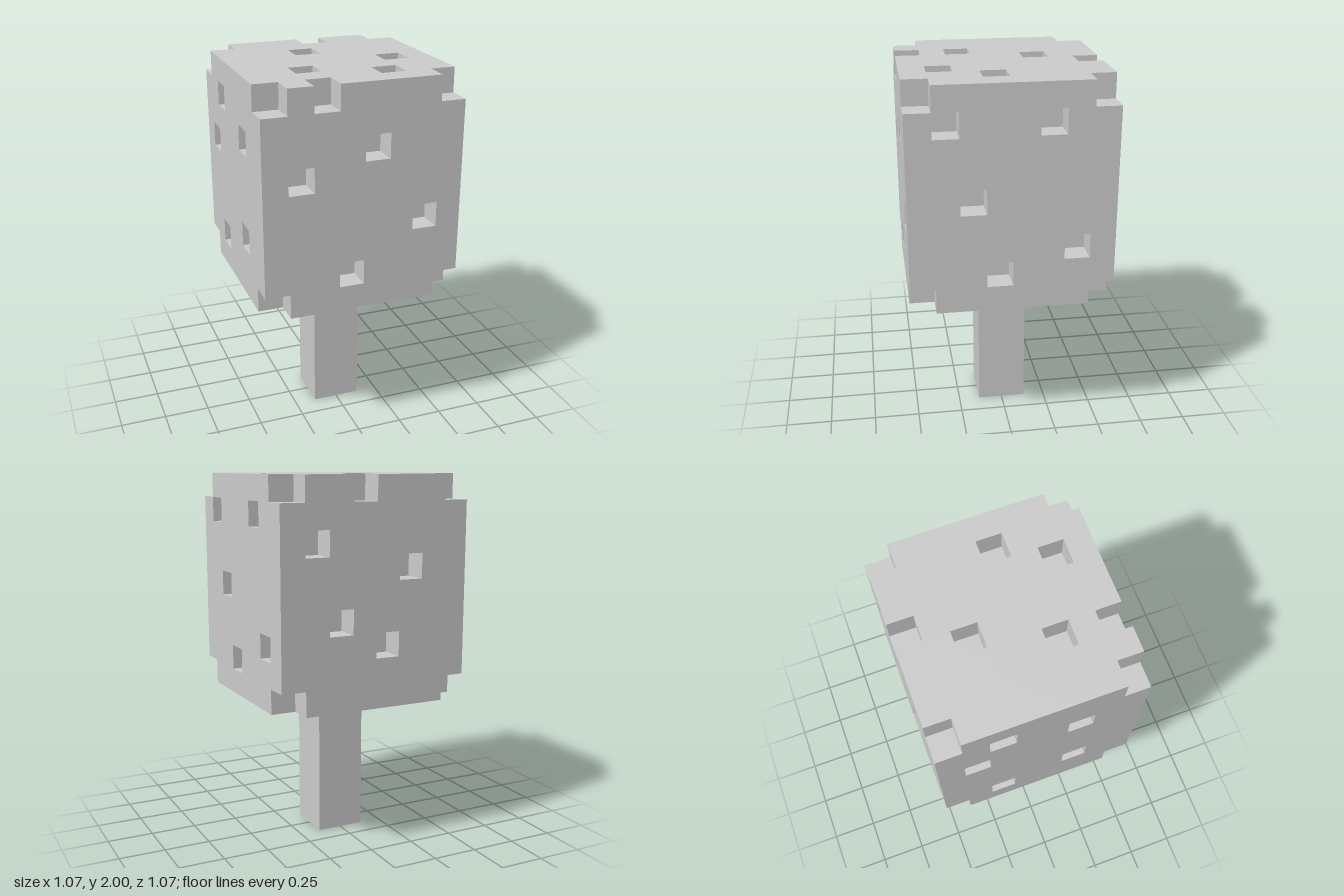
import * as THREE from 'three';
import { mergeGeometries } from 'three/addons/utils/BufferGeometryUtils.js';

const U = 2 / 15;                 // edge of one block
const NX = 8, NY = 9, NZ = 8;     // crown size in blocks
const TRUNK_W = 2, TRUNK_H = 6;   // trunk size in blocks

// Blocks missing from the crown, as [x, y, z] indices from its lower back right corner
function missingBlocks() {
  const cells = [];
  // all eight corners
  for (const x of [0, NX - 1]) for (const y of [0, NY - 1]) for (const z of [0, NZ - 1]) cells.push([x, y, z]);
  // front and back faces: [x, y]
  for (const [x, y] of [[4, 6], [1, 5], [6, 3], [3, 1]]) cells.push([x, y, NZ - 1]);
  for (const [x, y] of [[6, 6], [2, 5], [5, 3], [3, 2]]) cells.push([x, y, 0]);
  // +x and -x faces: [z, y]
  for (const [z, y] of [[6, 7], [2, 7], [5, 4], [1, 2], [4, 1]]) cells.push([NX - 1, y, z]);
  for (const [z, y] of [[2, 7], [5, 6], [1, 5], [5, 2], [2, 1]]) cells.push([0, y, z]);
  // top face, including the two notches in its rim: [x, z]
  for (const [x, z] of [[4, 0], [3, 2], [6, 4], [2, 5], [5, 6], [2, 7]]) cells.push([x, NY - 1, z]);
  return new Set(cells.map(String));
}

// One square per exposed block face, merged into a single skin
function crownGeometry() {
  const missing = missingBlocks();
  const solid = (x, y, z) =>
    x >= 0 && x < NX && y >= 0 && y < NY && z >= 0 && z < NZ && !missing.has(String([x, y, z]));
  const forward = new THREE.Vector3(0, 0, 1);
  const sides = [[1, 0, 0], [-1, 0, 0], [0, 1, 0], [0, -1, 0], [0, 0, 1], [0, 0, -1]].map((d) => {
    const turn = new THREE.Quaternion().setFromUnitVectors(forward, new THREE.Vector3(...d));
    return { d, square: new THREE.PlaneGeometry(U, U).translate(0, 0, U / 2).applyQuaternion(turn) };
  });
  const faces = [];
  for (let x = 0; x < NX; x++) for (let y = 0; y < NY; y++) for (let z = 0; z < NZ; z++) {
    if (!solid(x, y, z)) continue;
    for (const { d, square } of sides) {
      if (solid(x + d[0], y + d[1], z + d[2])) continue;
      faces.push(square.clone().translate(
        (x + 0.5 - NX / 2) * U, (y + 0.5) * U, (z + 0.5 - NZ / 2) * U));
    }
  }
  return mergeGeometries(faces);
}

export function createModel() {
  const tree = new THREE.Group();
  tree.name = 'blockTree';
  const material = new THREE.MeshStandardMaterial({ color: 0xcccccc, flatShading: true });

  // square trunk
  const trunk = new THREE.Mesh(new THREE.BoxGeometry(TRUNK_W * U, TRUNK_H * U, TRUNK_W * U), material);
  trunk.name = 'trunk';
  trunk.position.y = TRUNK_H * U / 2;

  // leafy crown with missing blocks
  const crown = new THREE.Mesh(crownGeometry(), material);
  crown.name = 'crown';
  crown.position.y = TRUNK_H * U;

  tree.add(trunk, crown);
  return tree;
}
